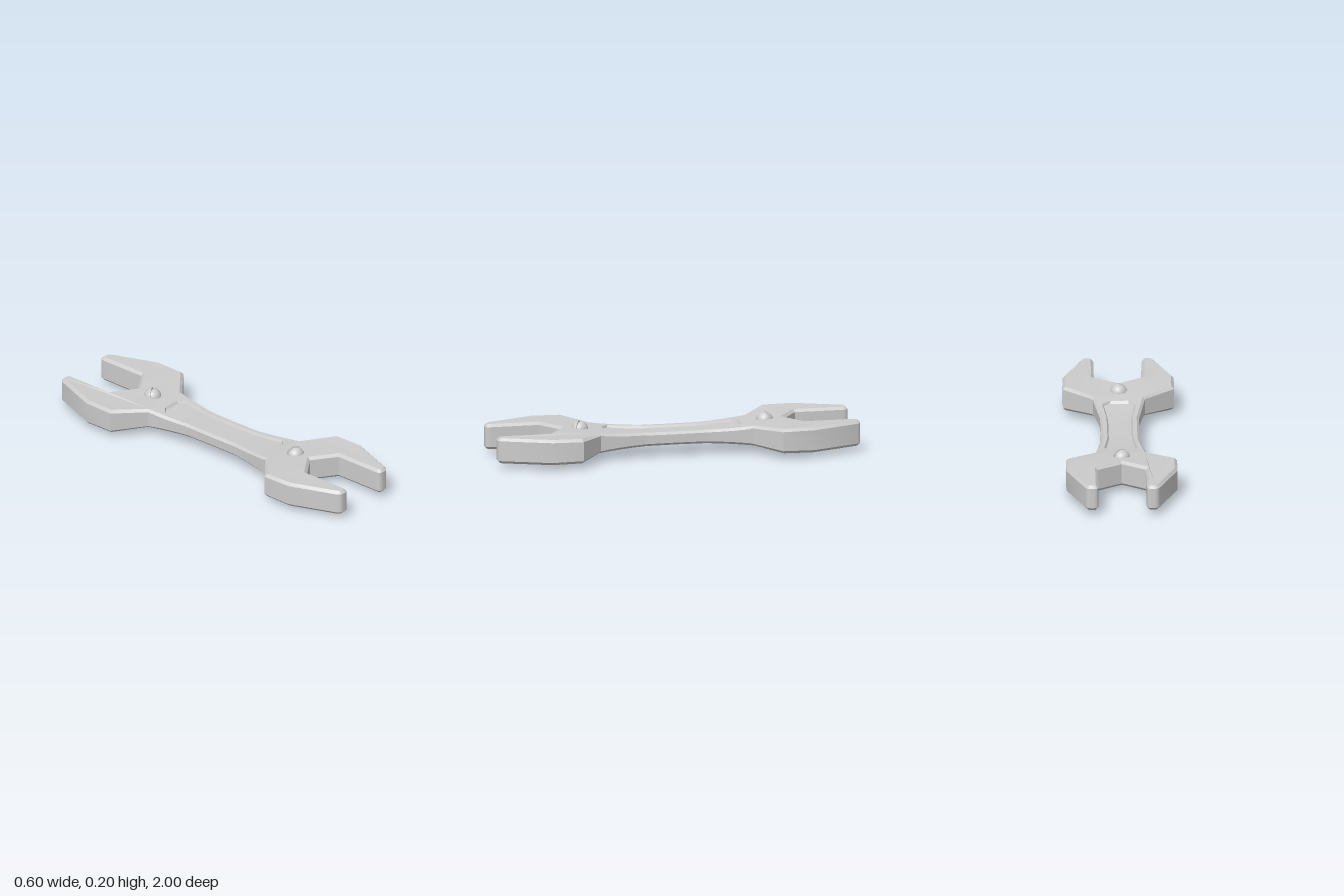
import * as THREE from 'three';
import { toCreasedNormals } from 'three/addons/utils/BufferGeometryUtils.js';

const MID = 0.1; // height of the mid plane
const material = new THREE.MeshStandardMaterial({ color: 0xcccccc });

function lerpTable(table, z) {
  z = Math.abs(z);
  for (let i = 1; i < table.length; i++) {
    const [z0, v0] = table[i - 1], [z1, v1] = table[i];
    if (z <= z1) return v0 + (v1 - v0) * (z - z0) / (z1 - z0);
  }
  return table[table.length - 1][1];
}
// half thickness and handle half width along the length
const halfHeight = z => lerpTable([[0, 0.036], [0.15, 0.037], [0.24, 0.04], [0.31, 0.044], [0.38, 0.05], [0.58, 0.07]], z);
const halfWidth = z => lerpTable([[0, 0.105], [0.17, 0.105], [0.42, 0.14]], z);

function addMesh(parent, name, geometry) {
  const mesh = new THREE.Mesh(geometry, material);
  mesh.name = name;
  parent.add(mesh);
  return mesh;
}

// open-jawed head, bevelled, thinning towards the handle
function headGeometry() {
  const bevel = 0.015, full = 0.07;
  const s = new THREE.Shape();
  s.moveTo(-0.134, 0.385);
  s.lineTo(0.134, 0.385);
  s.lineTo(0.14, 0.42);
  s.lineTo(0.3, 0.55);
  s.lineTo(0.3, 0.72);
  s.lineTo(0.205, 0.97);
  s.quadraticCurveTo(0.193, 1, 0.175, 1);
  s.lineTo(0.155, 1);
  s.quadraticCurveTo(0.13, 1, 0.13, 0.97);
  s.lineTo(0.13, 0.705);
  s.lineTo(0, 0.615);
  s.lineTo(-0.13, 0.705);
  s.lineTo(-0.13, 0.97);
  s.quadraticCurveTo(-0.13, 1, -0.155, 1);
  s.lineTo(-0.175, 1);
  s.quadraticCurveTo(-0.193, 1, -0.205, 0.97);
  s.lineTo(-0.3, 0.72);
  s.lineTo(-0.3, 0.55);
  s.lineTo(-0.14, 0.42);
  s.closePath();
  const depth = 2 * (full - bevel);
  const g = new THREE.ExtrudeGeometry(s, {
    depth, curveSegments: 6, bevelEnabled: true, bevelSegments: 1,
    bevelThickness: bevel, bevelSize: bevel, bevelOffset: -bevel,
  });
  g.translate(0, 0, -depth / 2).rotateX(Math.PI / 2);
  const p = g.attributes.position;
  for (let i = 0; i < p.count; i++) p.setY(i, p.getY(i) * halfHeight(p.getZ(i)) / full);
  return toCreasedNormals(g, 0.5);
}

// waisted handle with a sunk panel above and below, lofted along z
function handleGeometry() {
  // z, panel half width, panel depth
  const half = [[0, 0.07, 0.013], [0.15, 0.07, 0.013], [0.17, 0.072, 0.013], [0.24, 0.079, 0.013],
    [0.31, 0.087, 0.013], [0.34, 0.09, 0.013], [0.37, 0.06, 0.013], [0.38, 0.05, 0], [0.42, 0.05, 0]];
  const stations = [...half.slice(1).reverse().map(([z, r, d]) => [-z, r, d]), ...half];
  const positions = [], index = [], b = 0.013, n = 16;
  for (const [z, r, d] of stations) {
    const w = halfWidth(z), h = halfHeight(z);
    const quarter = [[w, h - b], [w - b, h], [r, h], [r - 0.008, h - d]];
    const top = [...quarter, ...quarter.slice().reverse().map(([x, y]) => [-x, y])];
    const ring = [...top, ...top.map(([x, y]) => [-x, -y])];
    for (const [x, y] of ring) positions.push(x, y, z);
  }
  for (let i = 0; i < stations.length - 1; i++) {
    for (let j = 0; j < n; j++) {
      const a = i * n + j, c = i * n + (j + 1) % n;
      index.push(a, c, c + n, a, c + n, a + n);
    }
  }
  const g = new THREE.BufferGeometry();
  g.setAttribute('position', new THREE.Float32BufferAttribute(positions, 3));
  g.setIndex(index);
  return toCreasedNormals(g, 0.35);
}

// round screw: two ball halves either side of a slot, with a smaller core between
function createScrew(slotAngle) {
  const screw = new THREE.Group(), r = 0.047, gap = 0.005;
  const cut = Math.acos(gap / r), edge = r * Math.sin(cut);
  for (const side of [0, Math.PI]) {
    const orient = g => g.rotateX(Math.PI / 2 + side).rotateY(-slotAngle);
    addMesh(screw, 'screwHalf', orient(new THREE.SphereGeometry(r, 28, 10, 0, Math.PI * 2, 0, cut)));
    addMesh(screw, 'slotWall', orient(new THREE.CircleGeometry(edge, 28).rotateX(Math.PI / 2).translate(0, gap, 0)));
  }
  addMesh(screw, 'slotFloor', new THREE.CylinderGeometry(0.037, 0.037, gap * 2, 28, 1, true)
    .rotateX(Math.PI / 2).rotateY(-slotAngle));
  return screw;
}

export function createModel() {
  const wrench = new THREE.Group();
  wrench.name = 'wrench';
  addMesh(wrench, 'handle', handleGeometry()).position.y = MID;
  const head = headGeometry();
  for (const end of [1, -1]) {
    const mesh = addMesh(wrench, end > 0 ? 'frontHead' : 'backHead', head);
    mesh.position.y = MID;
    mesh.rotation.y = end > 0 ? 0 : Math.PI;
    for (const side of [1, -1]) {
      const screw = createScrew(end * 0.5);
      screw.name = side > 0 ? 'topScrew' : 'bottomScrew';
      screw.position.set(0, MID + side * 0.053, end * 0.51);
      wrench.add(screw);
    }
  }
  return wrench;
}
